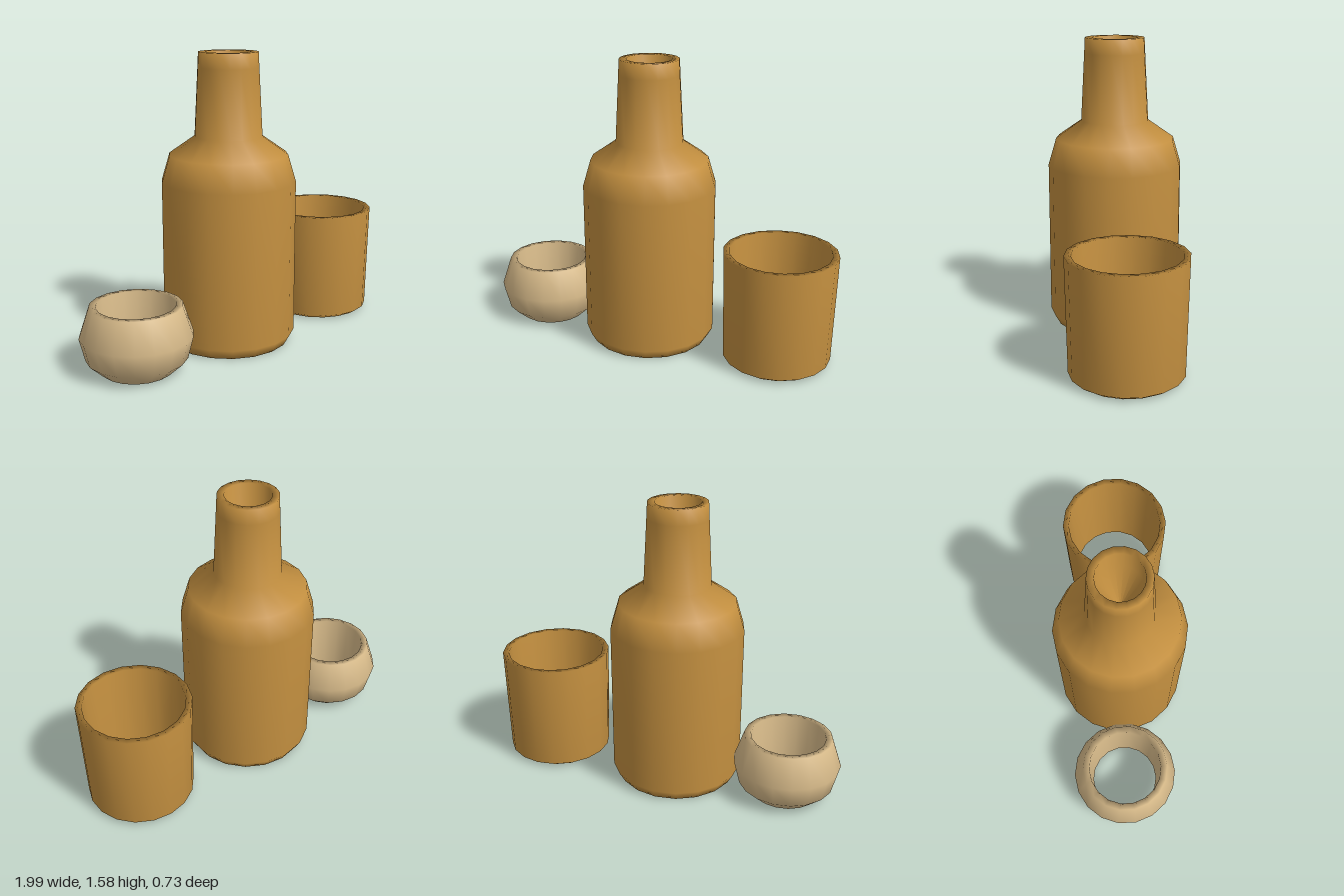
import * as THREE from 'three';

const amber = new THREE.MeshStandardMaterial({ color: 0xc49040 });
amber.name = 'amber glaze';
const sand = new THREE.MeshStandardMaterial({ color: 0xd8bb8a });
sand.name = 'sand glaze';

const SEGMENTS = 18;

// Turned vessel: profile of [radius, y] from the base, up the outside, then down the inside
function vessel(name, profile, material, x) {
  const points = profile.map(([r, y]) => new THREE.Vector2(r, y));
  const mesh = new THREE.Mesh(new THREE.LatheGeometry(points, SEGMENTS), material);
  mesh.name = name;
  mesh.position.x = x;
  return mesh;
}

export function createModel() {
  const group = new THREE.Group();
  group.name = 'bottleCupAndBowl';

  // Tall bottle with a closed base and a hollow neck
  group.add(vessel('bottle', [
    [0, 0], [0.333, 0], [0.364, 0.055], [0.364, 0.895], [0.321, 1.04],
    [0.183, 1.137], [0.164, 1.5], [0.16, 1.582],
    [0.122, 1.582], [0.12, 1.45], [0, 1.2],
  ], amber, -0.063));

  // Straight cup, open through the base
  group.add(vessel('cup', [
    [0.245, 0], [0.26, 0], [0.293, 0.022], [0.306, 0.62],
    [0.272, 0.62], [0.243, 0.02],
  ], amber, 0.693));

  // Small rounded bowl, open through the base
  group.add(vessel('bowl', [
    [0.187, 0], [0.263, 0.07], [0.293, 0.19], [0.24, 0.348],
    [0.204, 0.348], [0.187, 0.01],
  ], sand, -0.711));

  return group;
}
